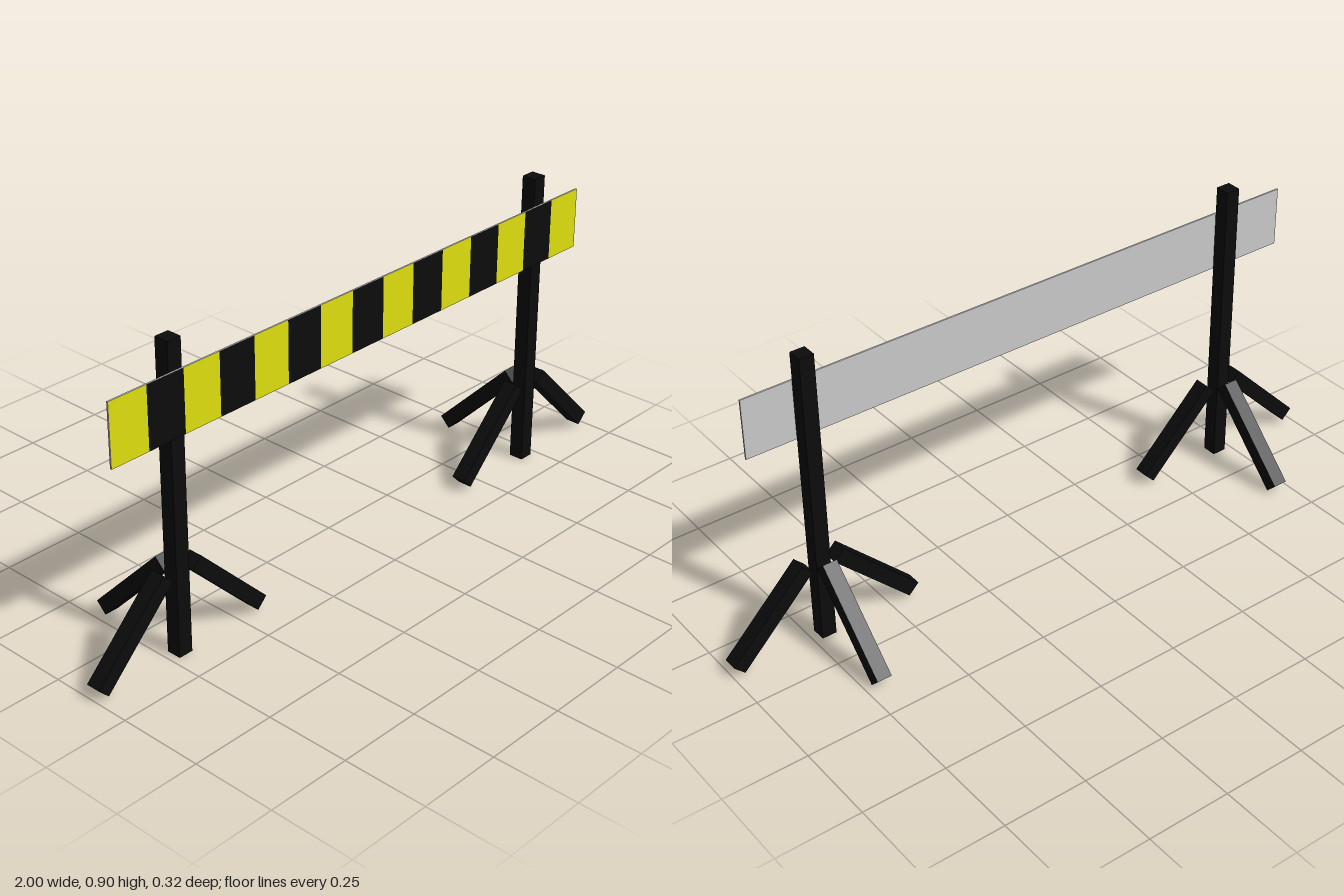
import * as THREE from 'three';

const black = new THREE.MeshStandardMaterial({ color: 0x0c0c0c });
const yellow = new THREE.MeshStandardMaterial({ color: 0xe0e010 });
const grey = new THREE.MeshStandardMaterial({ color: 0xcccccc });

const BAR = 0.044; // square section of posts and legs
const POST_X = 0.705, POST_Z = 0.134;

function box(name, w, h, d, x, y, z, material) {
  const mesh = new THREE.Mesh(new THREE.BoxGeometry(w, h, d), material);
  mesh.name = name;
  mesh.position.set(x, y, z);
  return mesh;
}

// Upright post with three legs splayed at 45 degrees
function createStand(name, x) {
  const stand = new THREE.Group();
  stand.name = name;
  stand.position.set(x, 0, POST_Z);
  stand.add(box('post', BAR, 0.9, BAR, 0, 0.45, 0, black));

  for (const side of [-1, 1]) {
    const leg = box('sideLeg', BAR, 0.324, BAR, side * 0.164, 0.138, 0, black);
    leg.rotation.z = side * Math.PI / 4;
    stand.add(leg);
  }
  const rear = box('rearLeg', BAR, 0.338, BAR, 0, 0.138, -0.159, black);
  rear.rotation.x = Math.PI / 4;
  stand.add(rear);
  return stand;
}

// Thin board with alternating stripes on its front face
function createBoard() {
  const board = new THREE.Group();
  board.name = 'board';
  const left = -0.923, width = 1.8, height = 0.18, count = 15;
  const step = width / count;
  board.position.set(left, 0.727, 0.1585);
  board.add(box('backing', width, height, 0.005, width / 2, 0, 0, grey));
  for (let i = 0; i < count; i++) {
    const stripe = new THREE.Mesh(new THREE.PlaneGeometry(step, height), i % 2 ? black : yellow);
    stripe.name = i % 2 ? 'blackStripe' : 'yellowStripe';
    stripe.position.set((i + 0.5) * step, 0, 0.0035);
    board.add(stripe);
  }
  return board;
}

export function createModel() {
  const model = new THREE.Group();
  model.name = 'roadBarrier';
  model.add(createStand('leftStand', POST_X), createStand('rightStand', -POST_X), createBoard());
  return model;
}
